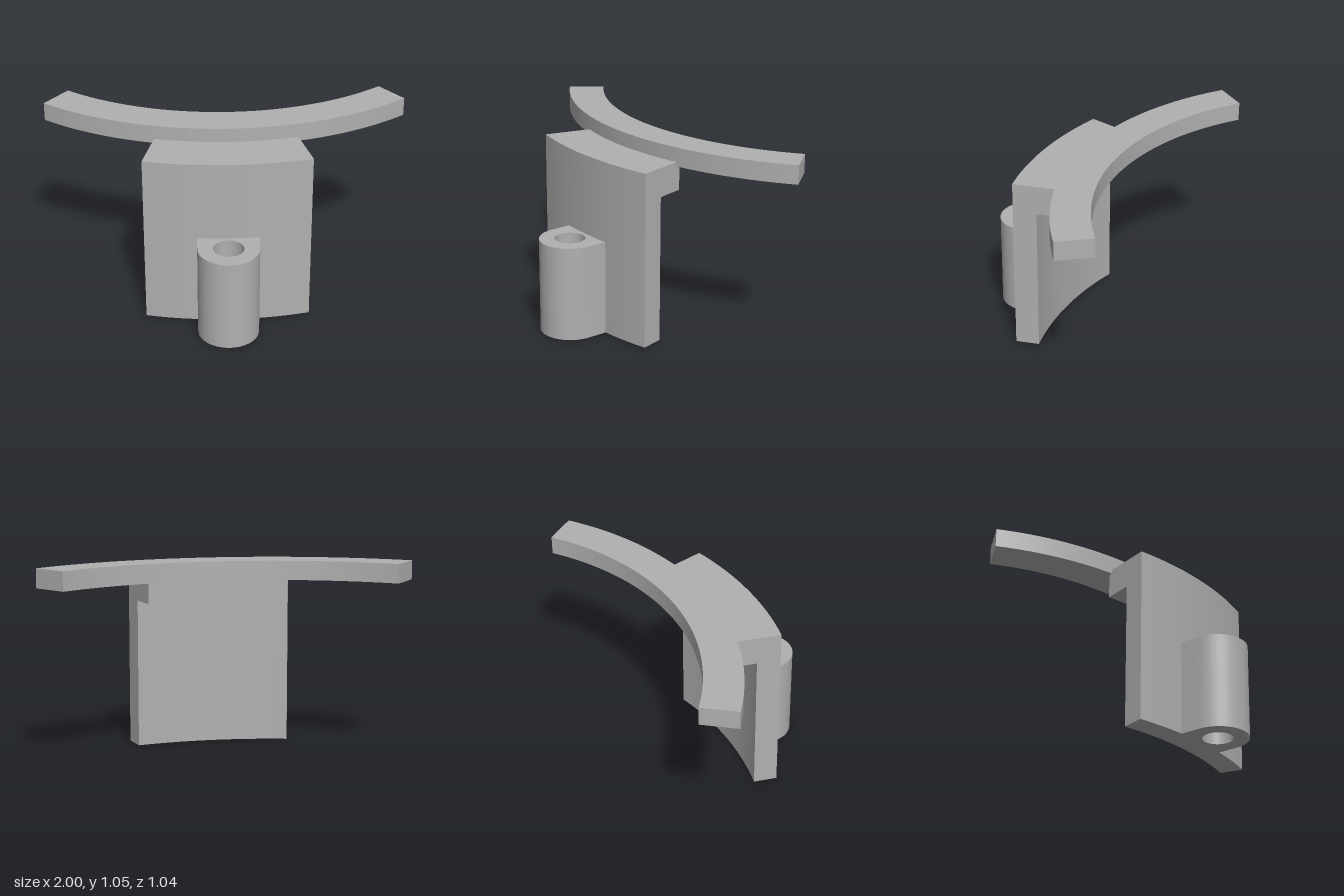
import * as THREE from 'three';
import { mergeGeometries, toCreasedNormals } from 'three/addons/utils/BufferGeometryUtils.js';

const CENTRE_Z = -1.643; // shared axis of all curved parts
const PLATE_R = 1.89; // front face radius of the plate

// Sweeps a closed (radius, y) profile, listed counter-clockwise, through -angle..angle
function sweptArc(profile, angle, segments) {
  const points = profile.map(([r, y]) => new THREE.Vector2(r, y));
  const skin = new THREE.LatheGeometry([...points, points[0].clone()], segments, -angle, angle * 2);
  const caps = [-1, 1].map((side) => {
    const cap = new THREE.ShapeGeometry(new THREE.Shape(points));
    if (side > 0) cap.index.array.reverse(); // face outwards on the left end
    cap.rotateY(side * angle - Math.PI / 2);
    return cap;
  });
  const geometry = toCreasedNormals(mergeGeometries([skin, ...caps]), 0.5);
  return geometry.translate(0, 0, CENTRE_Z);
}

// Round boss with a through hole, its back following the plate's curve
function bossGeometry() {
  const radius = 0.167, hole = 0.083, z = 0.352, height = 0.525;
  const a = Math.asin(radius / PLATE_R);
  const shape = new THREE.Shape(); // shape y is -z
  shape.absarc(0, -z, radius, Math.PI, Math.PI * 2, false);
  shape.absarc(0, -CENTRE_Z, PLATE_R, -Math.PI / 2 + a, -Math.PI / 2 - a, true);
  shape.closePath();
  shape.holes.push(new THREE.Path().absarc(0, -z, hole, 0, Math.PI * 2, true));
  const geometry = new THREE.ExtrudeGeometry(shape, { depth: height, bevelEnabled: false, curveSegments: 32 });
  geometry.rotateX(-Math.PI / 2);
  return toCreasedNormals(geometry, 0.5);
}

export function createModel() {
  const grey = new THREE.MeshStandardMaterial({ color: 0xb0b0b0 });
  grey.name = 'grey';
  const model = new THREE.Group();
  model.name = 'curvedBracket';

  const add = (name, geometry) => {
    const mesh = new THREE.Mesh(geometry, grey);
    mesh.name = name;
    model.add(mesh);
  };

  // Long curved rail on top
  add('rail', sweptArc([[1.426, 0.947], [1.628, 0.947], [1.628, 1.05], [1.426, 1.05]], 0.661, 64));

  // Curved plate with a stepped ledge that carries the rail
  add('plate', sweptArc([
    [1.761, 0], [PLATE_R, 0], [PLATE_R, 0.971], [1.628, 0.971],
    [1.628, 0.947], [1.603, 0.947], [1.603, 0.812], [1.761, 0.812],
  ], 0.2418, 32));

  // Mounting boss on the front of the plate
  add('boss', bossGeometry());

  return model;
}
